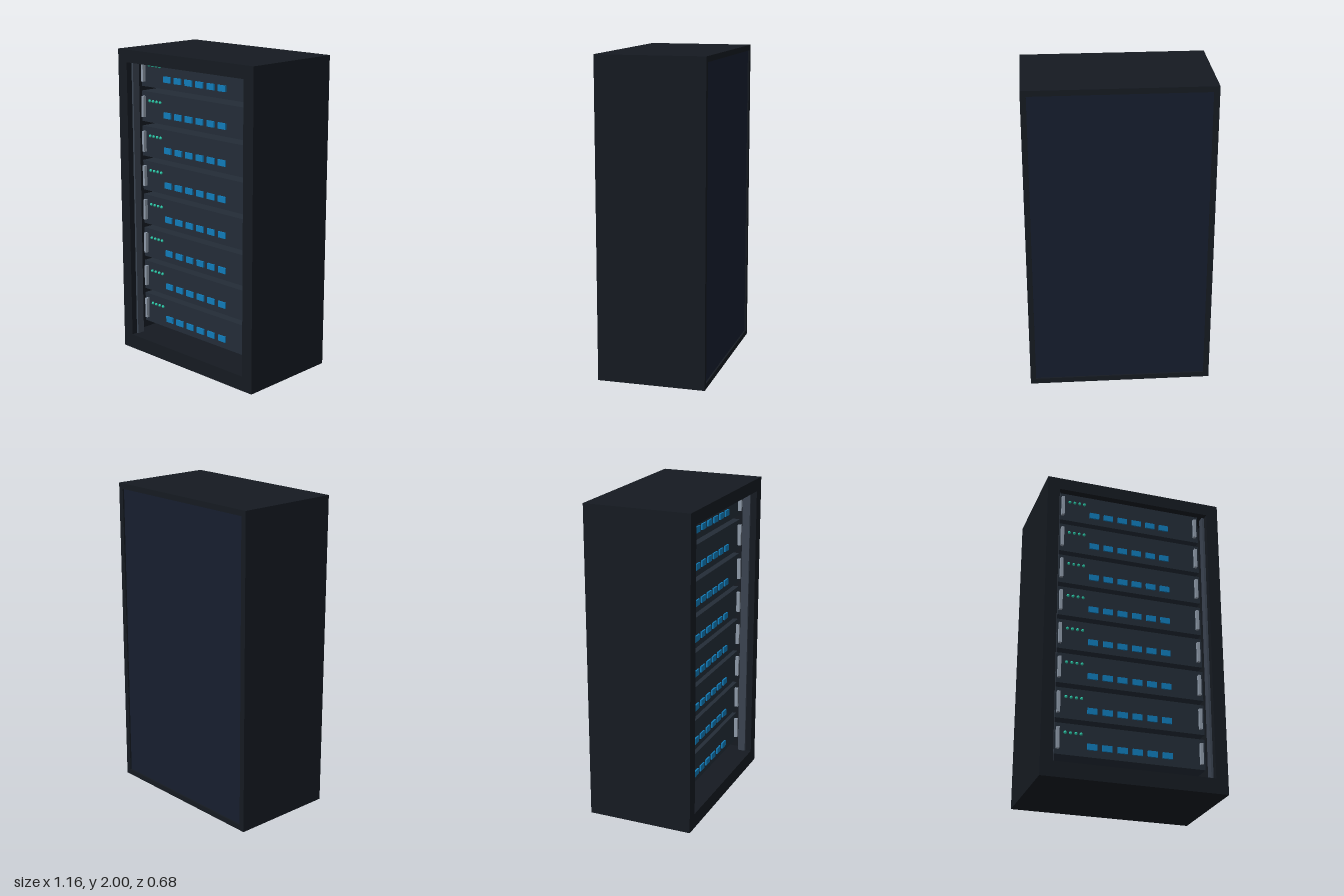
import * as THREE from 'three';

const mat = (color) => new THREE.MeshStandardMaterial({ color });
const M = {
  cabinet: mat(0x151a21), panel: mat(0x161d2e), rail: mat(0x3a4350), post: mat(0x263c85),
  server: mat(0x232c37), handle: mat(0x8d99a8), drive: mat(0x107bb8), light: mat(0x2cc9a8),
};

function box(parent, name, material, w, h, d, x, y, z) {
  const mesh = new THREE.Mesh(new THREE.BoxGeometry(w, h, d), material);
  mesh.name = name;
  mesh.position.set(x, y, z);
  parent.add(mesh);
  return mesh;
}

// One rack unit, centred on its front face
function createServer() {
  const unit = new THREE.Group();
  unit.name = 'serverUnit';
  box(unit, 'serverBody', M.server, 0.96, 0.196, 0.48, 0, 0, -0.24);
  for (const side of [-1, 1]) {
    box(unit, 'handle', M.handle, 0.018, 0.134, 0.022, side * 0.453, 0, 0.011);
  }
  // row of drive bays
  for (let i = 0; i < 6; i++) {
    box(unit, 'driveBay', M.drive, 0.062, 0.038, 0.012, -0.24 + i * 0.095, -0.035, 0.004);
  }
  // status lights
  for (let i = 0; i < 4; i++) {
    const light = new THREE.Mesh(new THREE.SphereGeometry(0.0095, 12, 8), M.light);
    light.name = 'statusLight';
    light.position.set(-0.405 + i * 0.0325, 0.04, 0.003);
    unit.add(light);
  }
  return unit;
}

export function createModel() {
  const model = new THREE.Group();
  model.name = 'serverRack';

  // Cabinet shell: thin walls, floor and roof
  for (const side of [-1, 1]) {
    box(model, 'sideWall', M.cabinet, 0.035, 2, 0.68, side * 0.5625, 1, 0);
  }
  box(model, 'floor', M.cabinet, 1.09, 0.035, 0.68, 0, 0.0175, 0);
  box(model, 'roof', M.cabinet, 1.09, 0.035, 0.68, 0, 1.9825, 0);
  box(model, 'backPanel', M.panel, 1.09, 1.93, 0.02, 0, 1, -0.32);

  // Front frame with a rectangular opening
  const outline = new THREE.Shape([
    [-0.58, 0], [0.58, 0], [0.58, 2], [-0.58, 2],
  ].map(([x, y]) => new THREE.Vector2(x, y)));
  outline.holes.push(new THREE.Path([
    [-0.502, 0.095], [-0.502, 1.92], [0.502, 1.92], [0.502, 0.095],
  ].map(([x, y]) => new THREE.Vector2(x, y))));
  const frame = new THREE.Mesh(
    new THREE.ExtrudeGeometry(outline, { depth: 0.04, bevelEnabled: false }), M.cabinet);
  frame.name = 'frontFrame';
  frame.position.z = 0.3;
  model.add(frame);
  box(model, 'plinth', M.cabinet, 1.09, 0.06, 0.6, 0, 0.065, 0);

  // Mounting rails in front, posts behind
  for (const side of [-1, 1]) {
    box(model, 'mountingRail', M.rail, 0.03, 1.83, 0.05, side * 0.503, 1.01, 0.275);
    box(model, 'rearPost', M.post, 0.04, 1.83, 0.03, side * 0.447, 1.025, -0.292);
  }

  // Stack of eight servers
  for (let i = 0; i < 8; i++) {
    const unit = createServer();
    unit.position.set(0, 0.275 + i * 0.2265, 0.235);
    model.add(unit);
  }
  return model;
}
